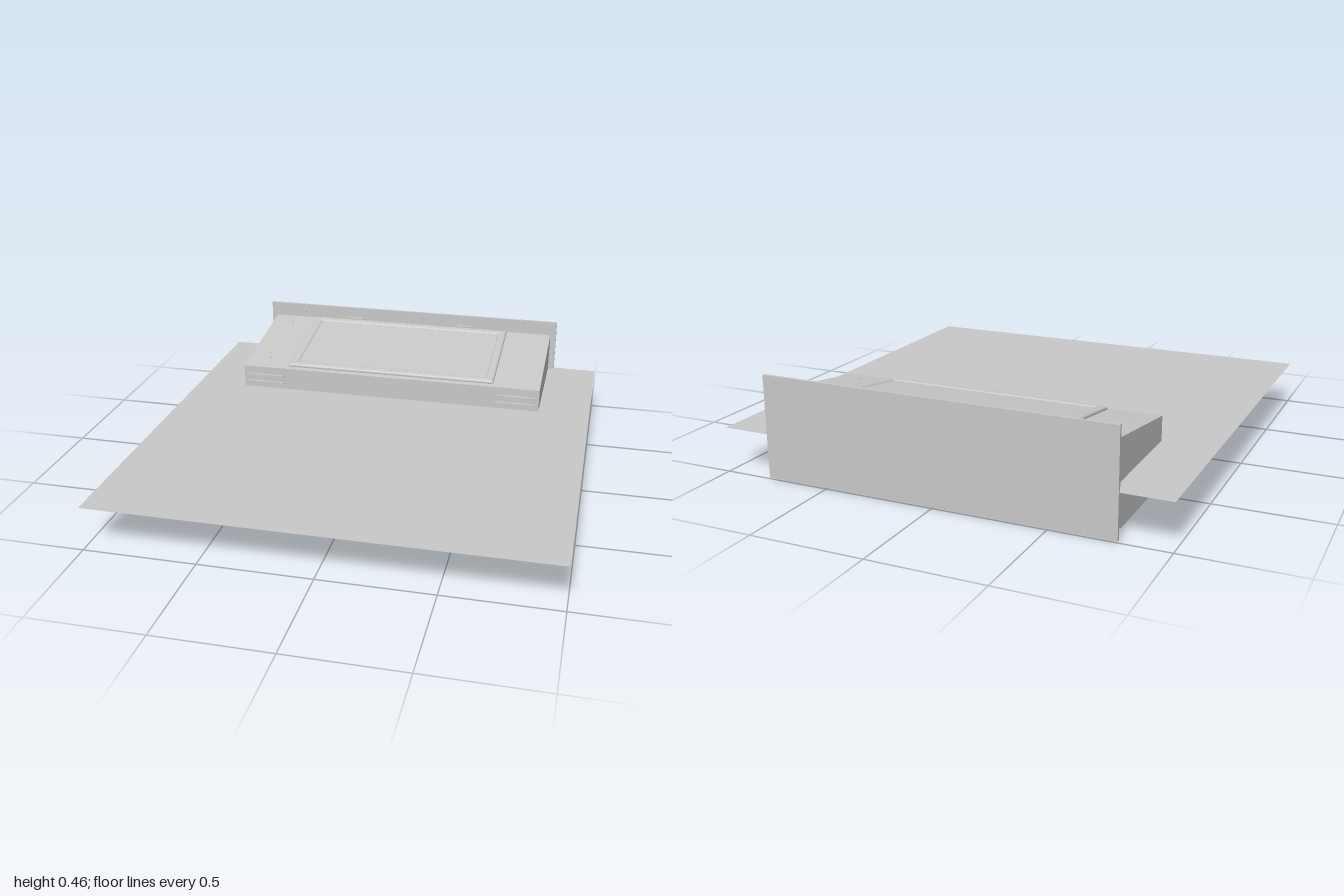
import * as THREE from 'three';

export function createModel() {
  const model = new THREE.Group();
  const grey = new THREE.MeshStandardMaterial({ color: 0xc8c8c8, side: THREE.DoubleSide });
  grey.name = 'light grey';

  function add(name, geometry, x, y, z, parent = model) {
    const mesh = new THREE.Mesh(geometry, grey);
    mesh.name = name;
    mesh.position.set(x, y, z);
    parent.add(mesh);
    return mesh;
  }
  const box = (w, h, d) => new THREE.BoxGeometry(w, h, d);

  // Thin square sheet crossing the housing
  add('sheet', new THREE.PlaneGeometry(2, 2).rotateX(-Math.PI / 2), 0, 0.2, 0);

  // Housing: side profile (z, y) swept across the width
  const profile = [[-0.4, 0.09], [-0.4, 0.31], [-0.987, 0.39], [-0.987, 0.075], [-0.88, 0.005], [-0.47, 0.005]];
  const side = new THREE.Shape(profile.map(([z, y]) => new THREE.Vector2(-z, y)));
  const housing = new THREE.ExtrudeGeometry(side, { depth: 1.51, bevelEnabled: false });
  housing.translate(0, 0, -0.755).rotateY(Math.PI / 2);
  add('housing', housing, 0, 0, 0);

  // Wall plate
  add('wallPlate', box(1.57, 0.455, 0.014), 0, 0.2325, -0.993);

  // Everything on the sloping top sits in one tilted group
  const top = new THREE.Group();
  top.name = 'slopingTop';
  top.position.set(0, 0.351, -0.7);
  top.rotation.x = Math.atan2(0.08, 0.587);
  model.add(top);

  const rect = (target, w, d) => {
    target.moveTo(-w, -d);
    target.lineTo(w, -d);
    target.lineTo(w, d);
    target.lineTo(-w, d);
    target.closePath();
    return target;
  };
  const frame = rect(new THREE.Shape(), 0.508, 0.26);
  frame.holes.push(rect(new THREE.Path(), 0.497, 0.249));
  const frameGeometry = new THREE.ExtrudeGeometry(frame, {
    depth: 0.006, bevelThickness: 0.01, bevelSize: 0.016, bevelSegments: 4,
  }).rotateX(-Math.PI / 2);
  add('lidFrame', frameGeometry, 0, 0, 0, top);
  add('lidPanel', box(0.98, 0.014, 0.49), 0, 0.002, 0, top);

  // Small studs on the housing top and along the lid front
  const stud = new THREE.CylinderGeometry(0.005, 0.005, 0.004, 12);
  for (const x of [-0.645, 0.645]) {
    for (const z of [-0.21, 0.2]) add('topStud', stud, x, 0.001, z, top);
  }
  for (const x of [-0.34, 0, 0.34]) add('lidStud', stud, x, 0.015, 0.252, top);

  const screw = new THREE.CylinderGeometry(0.01, 0.01, 0.012, 16).rotateX(Math.PI / 2);
  for (const s of [-1, 1]) {
    // Lid hinges
    add('hinge', box(0.088, 0.02, 0.018), s * 0.302, 0.398, -0.979);

    // Front vent louvres
    for (let i = 0; i < 5; i++) {
      add('ventLouvre', box(0.195, 0.007, 0.016), s * 0.64, 0.123 + i * 0.0365, -0.393);
    }

    // Plate screws
    for (const y of [0.42, 0.035]) add('plateScrew', screw, s * 0.6, y, -0.981);

    // Feet
    for (const z of [-0.54, -0.84]) {
      add('foot', new THREE.CylinderGeometry(0.01, 0.01, 0.006, 16), s * 0.66, 0.003, z);
    }
  }

  // Flat cover underneath
  add('bottomCover', box(0.13, 0.006, 0.08), -0.285, 0.003, -0.65);

  return model;
}
